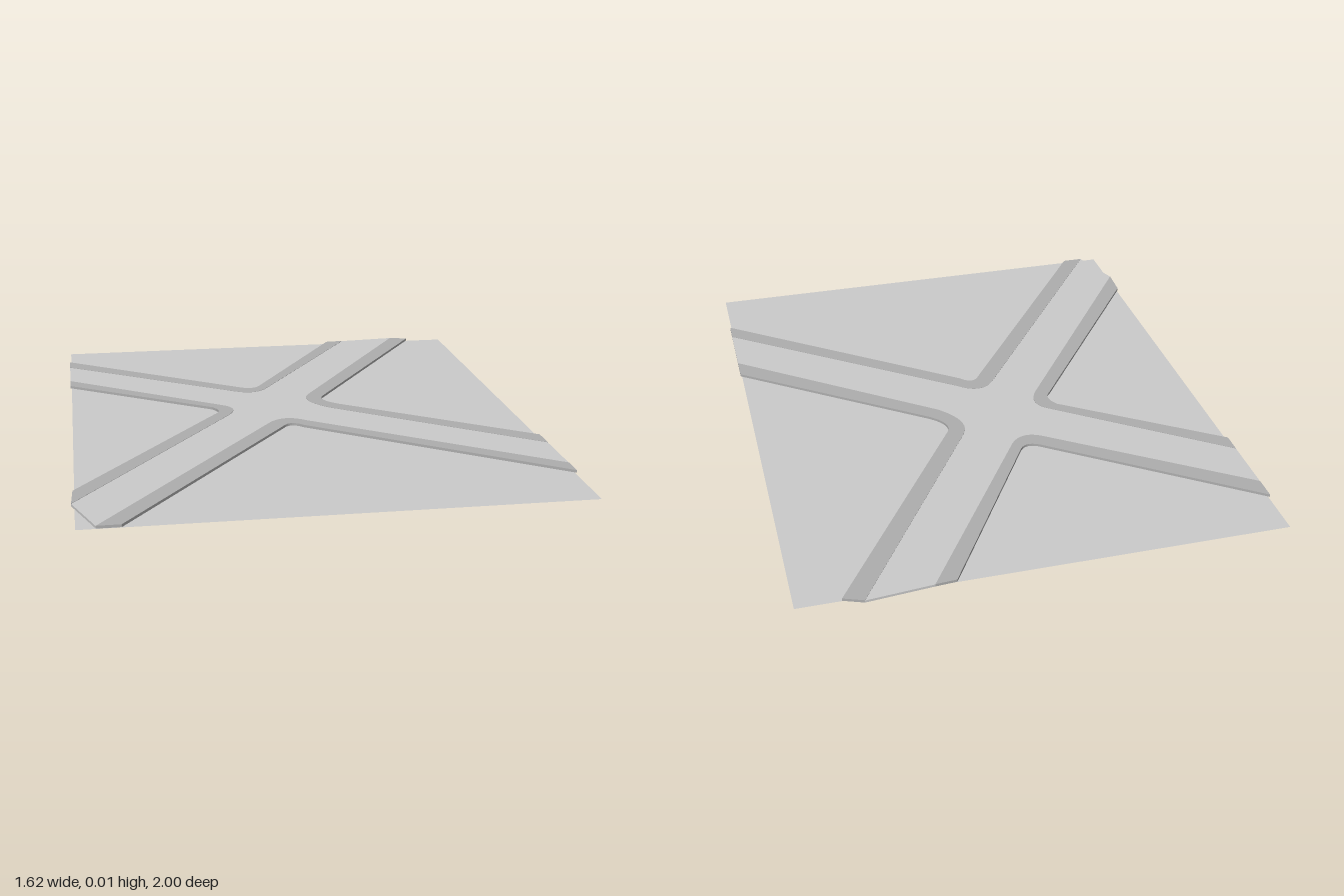
import * as THREE from 'three';

const BASE = 0.001, ROAD_TOP = 0.009, WALK_TOP = 0.01;

// Kerb lines of the four corners, clockwise from above, as [x, z]:
// arm end, start of bend, bend control point, end of bend, arm end.
const corners = [
  { name: 'backSidewalk',
    inner: [[-0.805, -0.73], [-0.18, -0.29], [-0.11, -0.24], [-0.06, -0.31], [0.37, -0.98]],
    outer: [[-0.805, -0.81], [-0.17, -0.35], [-0.11, -0.3], [-0.08, -0.35], [0.3, -0.975]] },
  { name: 'leftSidewalk',
    inner: [[0.59, -1], [0.09, -0.21], [0.04, -0.13], [0.14, -0.03], [0.805, 0.48]],
    outer: [[0.655, -0.975], [0.14, -0.18], [0.11, -0.13], [0.18, -0.07], [0.805, 0.395]] },
  { name: 'frontSidewalk',
    inner: [[0.805, 0.69], [0.03, 0.11], [-0.04, 0.04], [-0.1, 0.11], [-0.74, 1]],
    outer: [[0.805, 0.765], [0.01, 0.16], [-0.03, 0.11], [-0.06, 0.16], [-0.665, 1]] },
  { name: 'rightSidewalk',
    inner: [[-0.81, 0.81], [-0.25, 0.02], [-0.18, -0.07], [-0.25, -0.12], [-0.805, -0.53]],
    outer: [[-0.805, 0.7], [-0.29, -0.01], [-0.25, -0.05], [-0.29, -0.1], [-0.805, -0.46]] },
];

// Straight arm, rounded bend, straight arm, as points in the (x, -z) plane
function kerbLine(points) {
  const [a, b, c, d, e] = points.map(([x, z]) => new THREE.Vector2(x, -z));
  return [a, ...new THREE.QuadraticBezierCurve(b, c, d).getPoints(10), e];
}

// Flat slab standing between BASE and the given top
function slab(name, outline, top, color) {
  const geometry = new THREE.ExtrudeGeometry(new THREE.Shape(outline), {
    depth: top - BASE, bevelEnabled: false,
  });
  geometry.rotateX(-Math.PI / 2).translate(0, BASE, 0);
  const mesh = new THREE.Mesh(geometry, new THREE.MeshStandardMaterial({ color }));
  mesh.name = name;
  return mesh;
}

export function createModel() {
  const model = new THREE.Group();
  model.name = 'crossroads';

  // Ground sheet
  const ground = new THREE.Mesh(
    new THREE.PlaneGeometry(1.6, 1.975).rotateX(-Math.PI / 2).translate(0, 0, 0.0125),
    new THREE.MeshStandardMaterial({ color: 0xbcbcbc, side: THREE.DoubleSide }),
  );
  ground.name = 'ground';
  model.add(ground);

  // Crossing roads, bounded by the four inner kerb lines
  model.add(slab('road', corners.flatMap((c) => kerbLine(c.inner)), ROAD_TOP, 0xcccccc));

  // Raised sidewalk bent around each corner
  for (const { name, inner, outer } of corners) {
    const outline = [...kerbLine(inner), ...kerbLine(outer).reverse()];
    model.add(slab(name, outline, WALK_TOP, 0xaeaeae));
  }
  return model;
}
